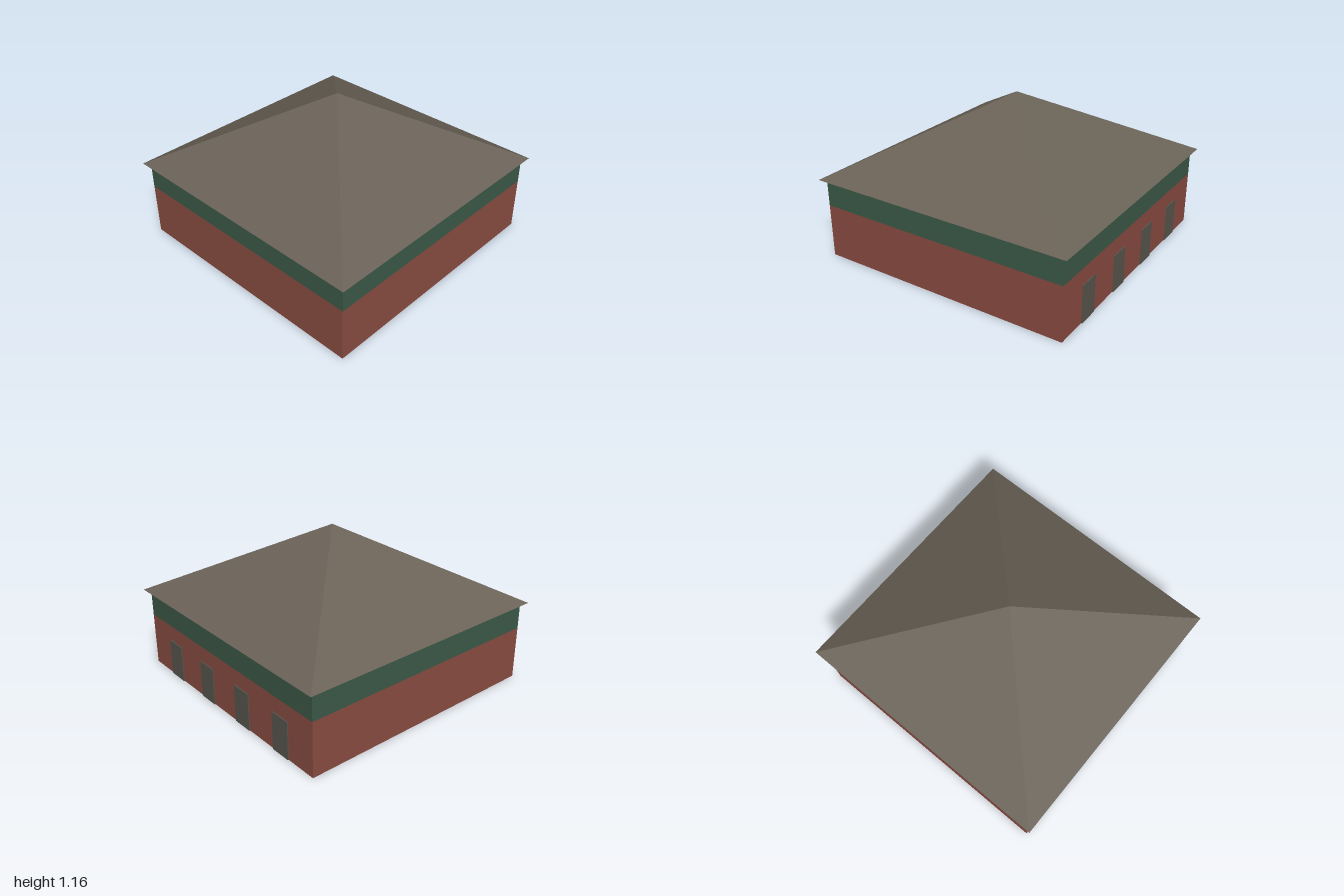
import * as THREE from 'three';

const material = (color) => new THREE.MeshStandardMaterial({ color, flatShading: true });

// Box resting on height y
function box(name, w, h, d, x, y, z, mat) {
  const mesh = new THREE.Mesh(new THREE.BoxGeometry(w, h, d), mat);
  mesh.name = name;
  mesh.position.set(x, y + h / 2, z);
  return mesh;
}

export function createModel() {
  const model = new THREE.Group();
  model.name = 'building';

  const brick = material(0x8a4d42);
  const green = material(0x3c5a48);
  const slate = material(0x6a6257);
  const doorGrey = material(0x59564e);

  // Walls: brick below, painted band above
  const side = 1.92;
  model.add(box('lowerWalls', side, 0.4, side, 0, 0, 0, brick));
  model.add(box('upperWalls', side, 0.203, side, 0, 0.4, 0, green));

  // Pyramid roof with a small overhang
  const baseY = 0.603, apexY = 1.16;
  const roofGeometry = new THREE.ConeGeometry(Math.SQRT2, apexY - baseY, 4);
  roofGeometry.rotateY(Math.PI / 4);
  const roof = new THREE.Mesh(roofGeometry, slate);
  roof.name = 'roof';
  roof.position.y = (baseY + apexY) / 2;
  model.add(roof);

  // Row of four doors along the back wall
  const doors = new THREE.Group();
  doors.name = 'backDoors';
  for (let i = 0; i < 4; i++) {
    doors.add(box(`door${i + 1}`, 0.16, 0.28, 0.02, (i - 1.5) * 0.426, 0, -0.957, doorGrey));
  }
  model.add(doors);

  return model;
}
